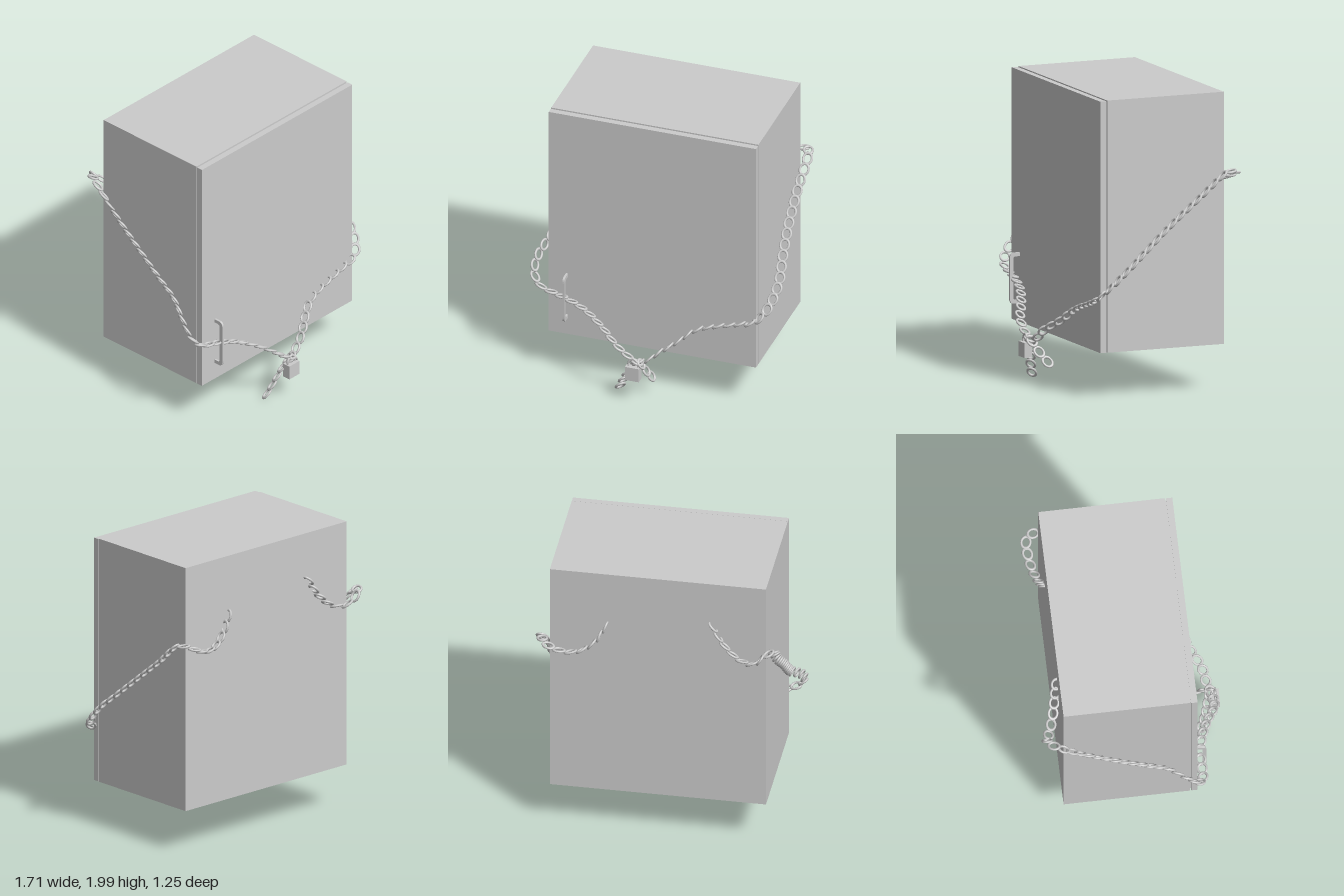
import * as THREE from 'three';

const mat = new THREE.MeshStandardMaterial({ color: 0xcccccc });
const V = (a) => new THREE.Vector3(...a);

function add(parent, name, geo, x = 0, y = 0, z = 0) {
  const mesh = new THREE.Mesh(geo, mat);
  mesh.name = name;
  mesh.position.set(x, y, z);
  parent.add(mesh);
  return mesh;
}

// one oval link, long axis x, flat in xy
const linkGeo = new THREE.TorusGeometry(0.03, 0.008, 8, 18);
linkGeo.scale(1.25, 1, 1);

// rows: [position, width direction of the link]
function chain(name, rows, spacing = 0.076, tilt = 0.22) {
  const group = new THREE.Group();
  group.name = name;
  const pts = rows.map((r) => V(r[0]));
  const curve = new THREE.CatmullRomCurve3(pts);
  const n = Math.round(curve.getLength() / spacing);
  for (let i = 0; i <= n; i++) {
    const t = curve.getUtoTmapping(i / n);
    const k = Math.min(Math.floor(t * (rows.length - 1)), rows.length - 2);
    const side = V(rows[k][1]).lerp(V(rows[k + 1][1]), t * (rows.length - 1) - k);
    const dir = curve.getTangent(t);
    const normal = dir.clone().cross(side).normalize();
    const wide = normal.clone().cross(dir).normalize();
    const link = add(group, 'chainLink', linkGeo);
    link.quaternion.setFromRotationMatrix(new THREE.Matrix4().makeBasis(dir, wide, normal));
    link.rotateY(tilt); // neighbouring links overlap past each other
    link.position.copy(curve.getPoint(t));
  }
  return group;
}

export function createModel() {
  const model = new THREE.Group();

  // cabinet, recessed seal and door
  add(model, 'cabinet', new THREE.BoxGeometry(1.444, 1.685, 0.838), 0, 1.1575, -0.063);
  add(model, 'doorSeal', new THREE.BoxGeometry(1.42, 1.66, 0.02), 0, 1.1575, 0.36);
  add(model, 'door', new THREE.BoxGeometry(1.444, 1.68, 0.042), 0, 1.1555, 0.385);

  // door handle: flat bracket with rounded outer corners
  const s = new THREE.Shape();
  s.moveTo(0, 0.44);
  s.lineTo(0.045, 0.44);
  s.quadraticCurveTo(0.075, 0.44, 0.075, 0.48);
  s.lineTo(0.075, 0.74);
  s.quadraticCurveTo(0.075, 0.78, 0.045, 0.78);
  s.lineTo(0, 0.78);
  s.lineTo(0, 0.755);
  s.lineTo(0.035, 0.755);
  s.quadraticCurveTo(0.05, 0.755, 0.05, 0.73);
  s.lineTo(0.05, 0.49);
  s.quadraticCurveTo(0.05, 0.465, 0.035, 0.465);
  s.lineTo(0, 0.465);
  const handleGeo = new THREE.ExtrudeGeometry(s, { depth: 0.014, bevelEnabled: false, curveSegments: 6 });
  handleGeo.rotateY(-Math.PI / 2);
  add(model, 'handle', handleGeo, -0.588, 0, 0.403);

  // chain round the +x side, from the back to the lock
  const back = [0, 0.3, -1], front = [0, 0.25, 1], right = [1, 0, 0];
  model.add(chain('leftChain', [
    [[0.35, 1.59, -0.49], back], [[0.42, 1.48, -0.51], back], [[0.52, 1.42, -0.54], back],
    [[0.63, 1.42, -0.56], back], [[0.73, 1.46, -0.56], [0.5, 0, -1]], [[0.78, 1.47, -0.48], right],
    [[0.775, 1.31, -0.28], right], [[0.78, 1.15, -0.08], right], [[0.8, 1.0, 0.1], right],
    [[0.82, 0.89, 0.23], right], [[0.79, 0.76, 0.36], right], [[0.72, 0.68, 0.42], [0.5, 0, 1]],
    [[0.6, 0.63, 0.415], front], [[0.45, 0.585, 0.415], front], [[0.31, 0.53, 0.42], front],
    [[0.2, 0.45, 0.47], front], [[0.1, 0.385, 0.53], front], [[0.02, 0.32, 0.55], front],
    [[-0.04, 0.3, 0.57], front],
  ]));

  // chain round the -x side, its links lying closer to the wall
  const wall = [-0.5, 0.66, 0.56];
  model.add(chain('rightChain', [
    [[-0.37, 1.67, -0.49], back], [[-0.44, 1.56, -0.51], back], [[-0.55, 1.47, -0.54], back],
    [[-0.65, 1.47, -0.575], back], [[-0.72, 1.53, -0.585], [-0.4, 0.3, -1]],
    [[-0.765, 1.535, -0.52], [-1, 0.3, 0]], [[-0.775, 1.37, -0.34], wall], [[-0.78, 1.2, -0.13], wall],
    [[-0.775, 1.04, 0.06], wall], [[-0.775, 0.93, 0.2], wall], [[-0.82, 0.84, 0.32], wall],
    [[-0.825, 0.74, 0.4], [-0.5, 0, 1]], [[-0.77, 0.67, 0.435], front], [[-0.68, 0.635, 0.44], front],
    [[-0.595, 0.61, 0.44], front], [[-0.45, 0.56, 0.465], front], [[-0.3, 0.48, 0.525], front],
    [[-0.2, 0.41, 0.575], front], [[-0.11, 0.34, 0.58], front], [[-0.05, 0.3, 0.575], front],
  ]));

  // loose ends hanging below the lock
  const skew = [1, 0, -1];
  model.add(chain('longTail', [
    [[-0.06, 0.29, 0.56], skew], [[-0.11, 0.21, 0.54], skew],
    [[-0.155, 0.13, 0.52], skew], [[-0.192, 0.05, 0.495], skew],
  ], 0.08));
  model.add(chain('shortTail', [
    [[-0.02, 0.29, 0.57], front], [[0.0, 0.22, 0.53], front], [[0.018, 0.15, 0.475], front],
  ], 0.08));

  // padlock
  const lock = new THREE.Group();
  lock.name = 'padlock';
  lock.position.set(-0.067, 0.23, 0.597);
  add(lock, 'lockBody', new THREE.BoxGeometry(0.096, 0.1, 0.056));
  const arch = new THREE.CatmullRomCurve3(
    [[-0.032, 0.04, 0], [-0.032, 0.075, 0], [0, 0.105, 0], [0.032, 0.075, 0], [0.032, 0.04, 0]].map(V));
  add(lock, 'shackle', new THREE.TubeGeometry(arch, 20, 0.008, 8));
  model.add(lock);

  return model;
}
